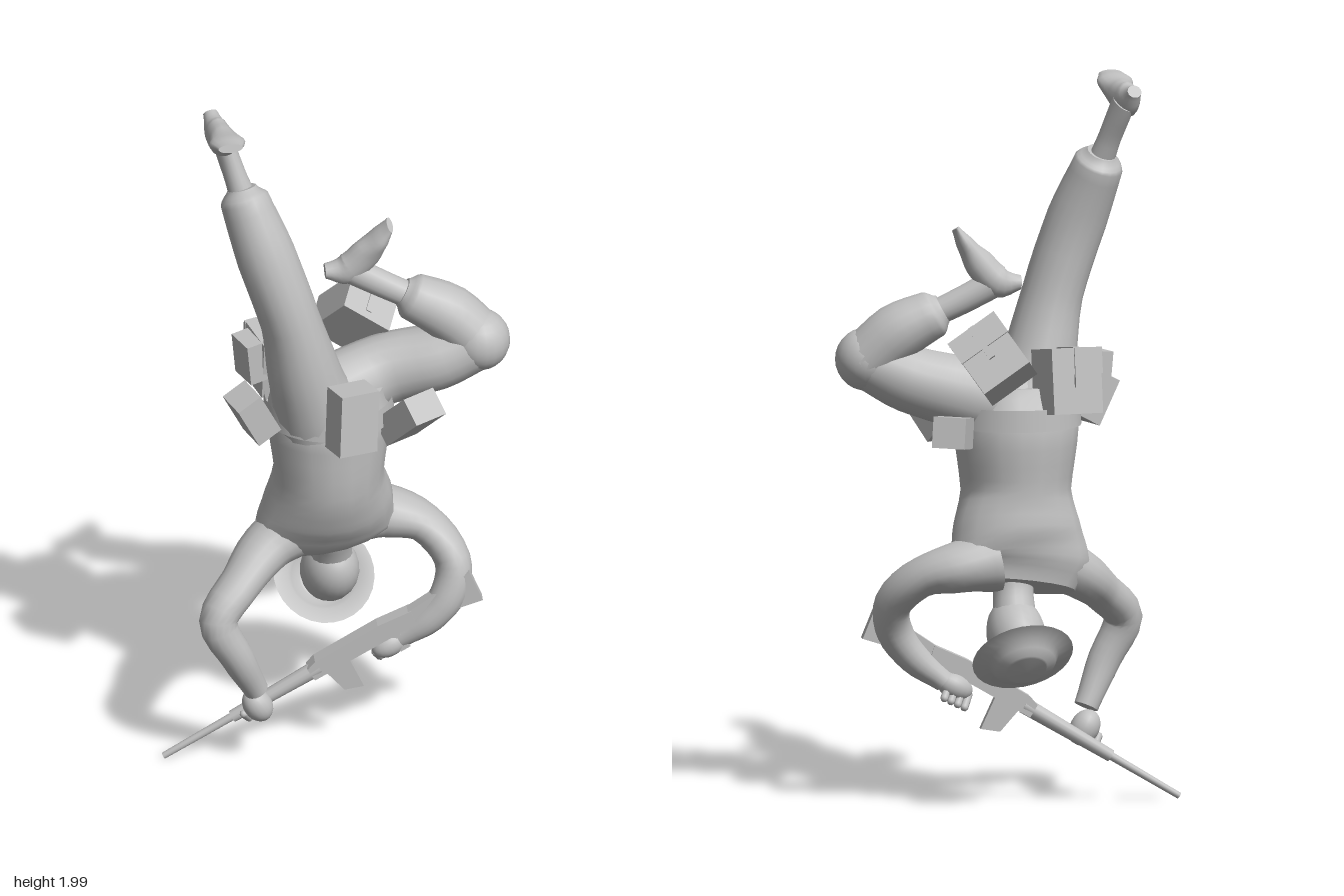
import * as THREE from 'three';

const grey = new THREE.MeshStandardMaterial({ color: 0xc0c0c0 });
grey.name = 'plain grey';
const greyThin = grey.clone();
greyThin.side = THREE.DoubleSide;

const V = (x, y, z) => new THREE.Vector3(x, y, z);

export function createModel() {
  const model = new THREE.Group();
  model.name = 'upturnedSoldier';

  const add = (name, geometry, parent = model, material = grey) => {
    const mesh = new THREE.Mesh(geometry, material);
    mesh.name = name;
    parent.add(mesh);
    return mesh;
  };

  // Lofts ellipses along a smooth path; each section is [x, y, z, a, b],
  // with radius a along ref and b across it.
  function loft(name, sections, ref = V(1, 0, 0), sides = 18, steps = 4) {
    const curve = new THREE.CatmullRomCurve3(sections.map(s => V(s[0], s[1], s[2])));
    const rows = (sections.length - 1) * steps;
    const pos = [], idx = [];
    const ringAt = i => {
      const t = i / rows;
      const k = Math.min(Math.floor(t * (sections.length - 1)), sections.length - 2);
      const f = t * (sections.length - 1) - k;
      const e = f * f * (3 - 2 * f) * 0.5 + f * 0.5;
      const mix = n => THREE.MathUtils.lerp(sections[k][n] ?? sections[k][3], sections[k + 1][n] ?? sections[k + 1][3], e);
      const c = curve.getPoint(t), tan = curve.getTangent(t);
      const u = ref.clone().addScaledVector(tan, -ref.dot(tan)).normalize();
      const v = tan.clone().cross(u);
      for (let j = 0; j < sides; j++) {
        const q = j / sides * Math.PI * 2;
        const p = c.clone().addScaledVector(u, mix(3) * Math.cos(q)).addScaledVector(v, mix(4) * Math.sin(q));
        pos.push(p.x, p.y, p.z);
      }
      return c;
    };
    for (let i = 0; i <= rows; i++) ringAt(i);
    for (let i = 0; i < rows; i++) for (let j = 0; j < sides; j++) {
      const a = i * sides + j, b = i * sides + (j + 1) % sides;
      idx.push(a, b, b + sides, a, b + sides, a + sides);
    }
    // End caps have their own rings so the rims stay sharp
    for (const end of [0, rows]) {
      const base = pos.length / 3, c = ringAt(end);
      pos.push(c.x, c.y, c.z);
      for (let j = 0; j < sides; j++) {
        const a = base + j, b = base + (j + 1) % sides;
        idx.push(base + sides, ...(end ? [a, b] : [b, a]));
      }
    }
    const g = new THREE.BufferGeometry();
    g.setAttribute('position', new THREE.Float32BufferAttribute(pos, 3));
    g.setIndex(idx);
    g.computeVertexNormals();
    return add(name, g);
  }

  const ball = (name, p, r, rot = [0, 0, 0]) => {
    const m = add(name, new THREE.SphereGeometry(1, 20, 14));
    m.position.set(...p);
    m.scale.set(...r);
    m.rotation.set(...rot);
    return m;
  };

  // Torso and belt
  loft('torso', [[-.02, 1.15, .01, .155, .13], [-.02, 1.04, 0, .172, .165], [-.02, .87, 0, .15, .157],
    [-.015, .76, -.025, .18, .142], [-.015, .68, -.047, .2, .112], [-.005, .615, -.075, .16, .065]]);
  const belt = add('belt', new THREE.CylinderGeometry(1, 1.02, .06, 28, 1, true), model, greyThin);
  belt.position.set(-.02, 1.08, 0);
  belt.scale.set(.176, 1, .168);

  // Head and brimmed helmet, tipped down and back
  loft('neck', [[0, .65, -.04, .06], [.005, .59, -.06, .055], [.01, .52, -.09, .06]]);
  const headTilt = Math.PI + .8;
  ball('head', [.01, .485, -.105], [.08, .115, .088], [headTilt, 0, 0]);
  const helmet = add('helmet', new THREE.LatheGeometry([[.14, -.002], [.098, .008], [.085, .03], [.06, .043],
    [.055, .047], [0, .052]].map(p => new THREE.Vector2(...p)), 28), model, greyThin);
  helmet.position.set(.01, .433, -.168);
  helmet.rotation.x = headTilt;

  // Arms
  const toward = V(0, 0, 1);
  loft('rightArm', [[-.1, .68, -.04, .09, .085], [-.19, .635, -.015, .08, .068], [-.28, .57, .05, .064, .055],
    [-.355, .49, .1, .054, .053], [-.305, .375, .11, .046], [-.245, .25, .085, .034]], toward);
  loft('leftArm', [[.06, .69, -.06, .09, .09], [.16, .672, -.06, .085, .07], [.255, .642, -.02, .07, .053],
    [.315, .56, .05, .06, .05], [.3, .48, .08, .05], [.245, .405, .08, .044], [.165, .34, .06, .03]], toward);

  // Hands with curled fingers
  function hand(name, p, r, roll) {
    ball(name, p, r, [0, 0, roll]);
    for (let i = 0; i < 4; i++) {
      const f = add(name + 'Finger', new THREE.CapsuleGeometry(.011, .045, 4, 8));
      const s = (i - 1.5) * .021;
      f.position.set(p[0] + s * Math.cos(roll), p[1] + s * Math.sin(roll) - .025, p[2] - .015);
      f.rotation.set(.7, 0, roll);
    }
  }
  hand('rightHand', [-.238, .194, .074], [.04, .052, .04], .5);
  hand('leftHand', [.135, .325, .06], [.052, .036, .035], .45);

  // Straight right leg
  loft('rightLeg', [[-.06, 1.07, .035, .12, .125], [-.1, 1.2, .06, .102, .11], [-.148, 1.4, .075, .082, .095],
    [-.21, 1.6, .055, .082, .087], [-.257, 1.755, .008, .068, .077], [-.263, 1.787, -.005, .04, .045]]);
  loft('rightAnkle', [[-.26, 1.76, 0, .036], [-.28, 1.83, -.022, .031, .038], [-.308, 1.93, -.06, .028, .05]]);
  loft('rightFoot', [[-.322, 1.968, -.118, .02, .018], [-.318, 1.94, -.07, .032, .048], [-.317, 1.945, -.005, .038, .044],
    [-.318, 1.97, .055, .05, .024], [-.322, 1.985, .108, .034, .012]], V(1, 0, 0), 16);

  // Bent left leg
  loft('leftThigh', [[0, 1.1, -.005, .1, .11], [.14, 1.145, -.022, .092, .1], [.28, 1.185, .012, .094, .092],
    [.395, 1.235, .045, .076, .076]], toward);
  ball('leftKnee', [.393, 1.24, .043], [.084, .086, .084]);
  loft('leftCalf', [[.4, 1.235, .042, .08, .076], [.315, 1.315, .008, .08, .08], [.22, 1.366, -.018, .066, .066],
    [.195, 1.38, -.025, .04, .04]], toward);
  loft('leftAnkle', [[.23, 1.36, -.015, .036], [.14, 1.405, -.04, .034, .038], [.05, 1.455, -.062, .034, .04]], toward);
  loft('leftFoot', [[-.012, 1.45, -.07, .025, .02], [.048, 1.452, -.063, .038, .045], [.098, 1.503, -.05, .038, .042],
    [.132, 1.553, -.035, .042, .025], [.158, 1.598, -.022, .03, .01]], toward, 16);

  // Pouches and packs around the belt: position, size, rotation, flap side (0 for plain)
  const packs = [
    ['frontPouch', [-.008, 1.145, .215], [.115, .18, .085], [-.08, .25, -.06], 0],
    ['frontLeftPouch', [.172, 1.085, .145], [.105, .17, .08], [.85, .3, -.35], 0],
    ['backLeftPouch', [.2, 1.055, -.14], [.09, .085, .14], [.15, -.45, .1], 0],
    ['backLeftPack', [.09, 1.255, -.15], [.15, .18, .11], [.5, -.46, -.45], -1],
    ['backRightPack', [-.13, 1.18, -.12], [.15, .18, .12], [.15, .2, 0], -1],
    ['sideRightPouch', [-.21, 1.2, -.09], [.07, .12, .09], [0, .25, .1], 0],
    ['rightPouch', [-.25, 1.11, .06], [.075, .135, .1], [0, .2, .48], 0],
  ];
  for (const [name, p, [w, h, d], rot, face] of packs) {
    const pack = new THREE.Group();
    pack.name = name;
    pack.position.set(...p);
    pack.rotation.set(...rot);
    model.add(pack);
    add(name + 'Body', new THREE.BoxGeometry(w, h, d), pack);
    if (face) {
      add(name + 'Flap', new THREE.BoxGeometry(w * 1.03, h * .4, .008), pack).position.set(0, h * .3, face * d / 2);
      add(name + 'Strap', new THREE.BoxGeometry(.018, h * .6, .009), pack).position.set(0, h * .2, face * (d / 2 + .003));
      add(name + 'TopStrap', new THREE.BoxGeometry(.018, .006, d * .8), pack).position.set(0, h / 2, face * d * .1);
    }
  }

  // Rifle, built along its own x axis from the muzzle
  const rifle = new THREE.Group();
  rifle.name = 'rifle';
  const along = V(.84, .515, .13).normalize();
  const across = along.clone().cross(V(0, 1, 0)).normalize();
  rifle.quaternion.setFromRotationMatrix(new THREE.Matrix4().makeBasis(along, across.clone().cross(along), across));
  rifle.position.set(-.477, .01, -.025);
  model.add(rifle);
  const rod = (name, x0, x1, r0, r1) => {
    const m = add(name, new THREE.CylinderGeometry(r1, r0, x1 - x0, 12), rifle);
    m.rotation.z = -Math.PI / 2;
    m.position.x = (x0 + x1) / 2;
  };
  rod('barrel', 0, .3, .009, .012);
  rod('handguard', .22, .5, .017, .023);
  const plate = (name, points, depth) => {
    const shape = new THREE.Shape(points.map(p => new THREE.Vector2(...p)));
    add(name, new THREE.ExtrudeGeometry(shape, { depth, bevelEnabled: false }), rifle).position.z = -depth / 2;
  };
  plate('receiver', [[.47, -.02], [.79, -.024], [.8, .018], [.7, .03], [.5, .03], [.47, .02]], .042);
  plate('magazine', [[.505, -.01], [.52, -.095], [.57, -.115], [.582, -.01]], .026);
  plate('grip', [[.69, -.015], [.71, -.08], [.74, -.08], [.735, -.015]], .025);
  plate('stock', [[.77, -.015], [.98, -.065], [.995, .03], [.77, .018]], .034);

  return model;
}
